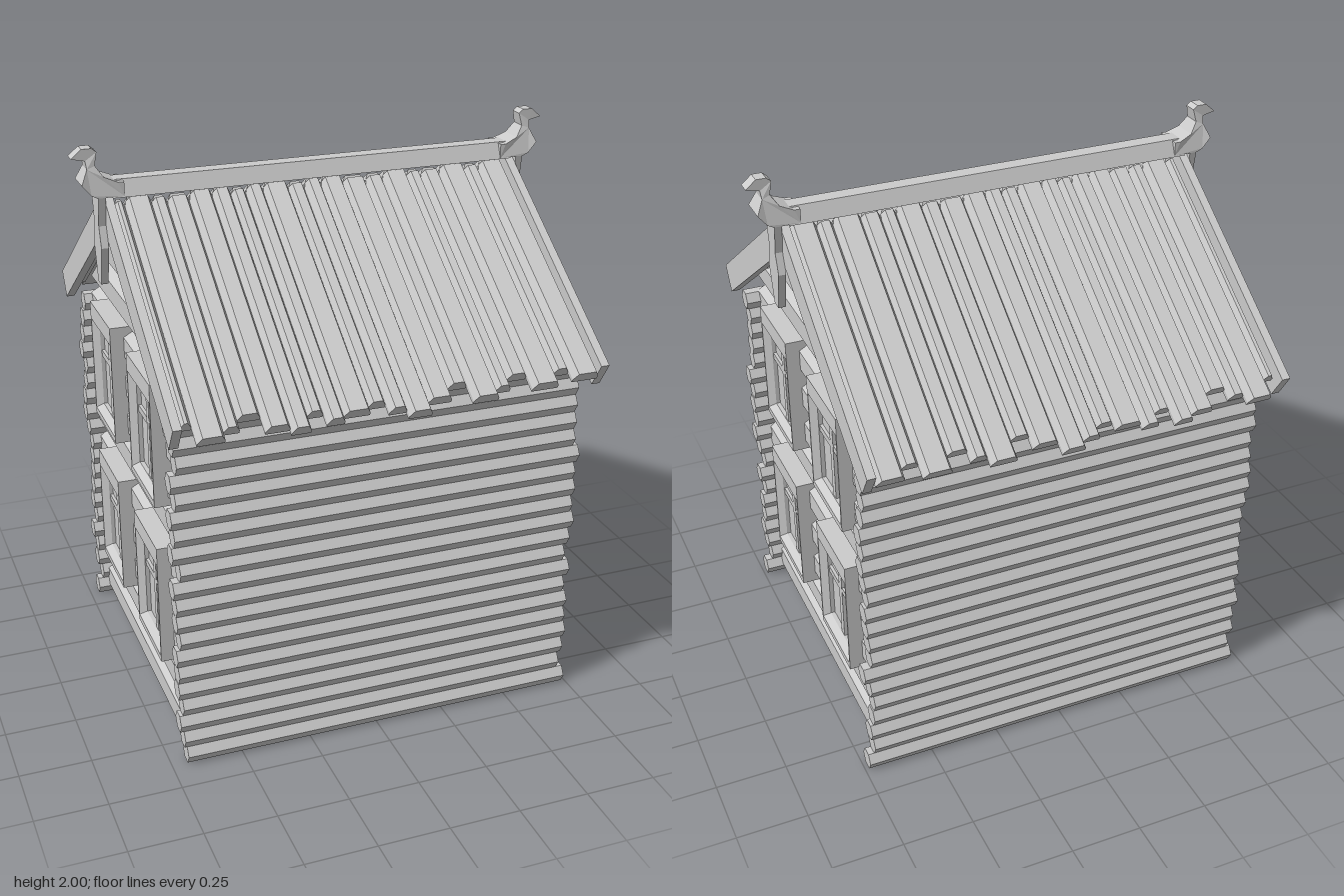
import * as THREE from 'three';

const SLOPE = 0.674, ANGLE = Math.atan(SLOPE), APEX = 1.845;
const mat = new THREE.MeshStandardMaterial({ color: 0xcccccc, flatShading: true });
const shellMat = new THREE.MeshStandardMaterial({ color: 0xcccccc, flatShading: true, side: THREE.DoubleSide });

let seed = 7;
const rand = () => (seed = (seed * 16807) % 2147483647) / 2147483647;

function add(parent, name, geometry, x = 0, y = 0, z = 0, material = mat) {
  const mesh = new THREE.Mesh(geometry, material);
  mesh.name = name;
  mesh.position.set(x, y, z);
  parent.add(mesh);
  return mesh;
}

function extrude(points, depth) {
  const shape = new THREE.Shape(points.map(([x, y]) => new THREE.Vector2(x, y)));
  return new THREE.ExtrudeGeometry(shape, { depth, bevelEnabled: false });
}

// Flat board outlined in (z, y), its thickness running along x
const boardX = (points, depth) => extrude(points.map(([z, y]) => [-z, y]), depth).rotateY(Math.PI / 2);

// Outer half of a six-sided gable log, its ends cut to follow the roof
function gableLog(y) {
  const geo = new THREE.CylinderGeometry(0.0735, 0.0735, 1, 3, 1, true, 0, Math.PI).rotateX(Math.PI / 2);
  const p = geo.attributes.position;
  for (let i = 0; i < p.count; i++) {
    const half = THREE.MathUtils.clamp((1.75 - y - p.getY(i)) / SLOPE, 0, 0.6);
    p.setZ(i, Math.sign(p.getZ(i)) * half);
  }
  return geo;
}

// Window casing with slanted reveal and pane: rectangles [x, halfWidth, bottom, top] joined in turn
function casingGeometry() {
  const loops = [
    [0.6, 0.15, 0, 0.44], [0.722, 0.15, 0, 0.44],
    [0.722, 0.142, 0.022, 0.375], [0.697, 0.125, 0.04, 0.348], [0.682, 0.125, 0.04, 0.348],
  ];
  const pos = [], idx = [2, 1, 0, 3, 2, 0];
  for (const [x, h, b, t] of loops) pos.push(x, b, h, x, b, -h, x, t, -h, x, t, h);
  for (let i = 0; i < loops.length - 1; i++) {
    for (let j = 0; j < 4; j++) {
      const a = i * 4 + j, b = i * 4 + (j + 1) % 4;
      idx.push(a, b, b + 4, a, b + 4, a + 4);
    }
  }
  const last = (loops.length - 1) * 4;
  idx.push(last, last + 1, last + 2, last, last + 2, last + 3);
  const geo = new THREE.BufferGeometry();
  geo.setAttribute('position', new THREE.Float32BufferAttribute(pos, 3));
  geo.setIndex(idx);
  geo.computeVertexNormals();
  return geo;
}

function makeWindow(y, z) {
  const win = new THREE.Group();
  win.name = 'window';
  add(win, 'windowCasing', casingGeometry());
  add(win, 'verticalMullion', new THREE.BoxGeometry(0.014, 0.308, 0.03), 0.687, 0.194, 0);
  add(win, 'crossBar', new THREE.BoxGeometry(0.012, 0.024, 0.25), 0.687, 0.242, 0);
  win.position.set(0, y, z);
  return win;
}

// Carved bird head at the end of the ridge, thinning towards the top
function birdGeometry() {
  const geo = extrude([
    [0.68, 1.84], [0.77, 1.84], [0.79, 1.85], [0.82, 1.886], [0.797, 1.934], [0.8, 1.96], [0.845, 1.97],
    [0.81, 2], [0.776, 2], [0.76, 1.987], [0.77, 1.944], [0.745, 1.907], [0.7, 1.888], [0.68, 1.888],
  ], 1).translate(0, 0, -0.5);
  const p = geo.attributes.position;
  for (let i = 0; i < p.count; i++) {
    const k = THREE.MathUtils.clamp((p.getY(i) - 1.886) / 0.075, 0, 1);
    p.setZ(i, p.getZ(i) * 2 * THREE.MathUtils.lerp(0.052, 0.024, k));
  }
  geo.computeVertexNormals();
  return geo;
}

// One gable end facing +x: log wall, windows, roof edge boards, pendant and bird
function makeGable() {
  const gable = new THREE.Group();
  for (let i = 0; i < 12; i++) {
    const y = 0.0735 + i * 0.147;
    add(gable, 'gableLog', gableLog(y), 0.61, y, 0, shellMat);
  }
  for (const y of [0.29, 0.885]) {
    for (const z of [0.253, -0.277]) gable.add(makeWindow(y, z));
  }
  for (const s of [-1, 1]) {
    const pts = [[0, APEX], [s * 0.78, 1.32], [s * 0.725, 1.235], [0, 1.723]];
    add(gable, 'bargeboard', boardX(pts, 0.03), 0.713, 0, 0);
  }
  add(gable, 'pendant', boardX([
    [-0.05, 1.845], [0.05, 1.845], [0.032, 1.74], [0.055, 1.67], [0.02, 1.535],
    [-0.02, 1.535], [-0.055, 1.67], [-0.032, 1.74],
  ], 0.025), 0.743, 0, 0);
  add(gable, 'ridgeBird', birdGeometry());
  return gable;
}

// Roof plank with a flat underside and deep chamfers on top, running down +z
function plankGeometry(width, length) {
  const w = width / 2, t = 0.021, c = 0.014;
  return extrude([[-w, -t], [w, -t], [w, -t + 0.014], [w - c, t], [-w + c, t], [-w, -t + 0.014]], length);
}

export function createModel() {
  const house = new THREE.Group();
  house.name = 'logHouse';

  // Long walls of stacked logs with uneven ends
  const pitch = 0.0643, radius = pitch / Math.sqrt(3);
  for (const s of [1, -1]) {
    for (let i = 0; i < 20; i++) {
      const left = -0.695 - rand() * 0.03, right = 0.705 + rand() * 0.035;
      const geo = new THREE.CylinderGeometry(radius, radius, right - left, 6).rotateZ(Math.PI / 2);
      add(house, 'wallLog', geo, (left + right) / 2, pitch * (i + 0.5), s * 0.607);
    }
  }

  // Gable ends
  const rightGable = makeGable(), leftGable = makeGable();
  rightGable.name = 'gableEnd';
  leftGable.name = 'oppositeGableEnd';
  leftGable.rotation.y = Math.PI;
  house.add(rightGable, leftGable);

  // Roof planks: edges along x, and how far out each one reaches
  const edges = [-0.71, -0.67, -0.58, -0.525, -0.45, -0.37, -0.305, -0.25, -0.19, -0.1, -0.04,
    0.02, 0.1, 0.185, 0.25, 0.34, 0.395, 0.465, 0.56, 0.617, 0.71];
  const reach = [0.73, 0.79, 0.76, 0.73, 0.785, 0.8, 0.75, 0.79, 0.775, 0.75, 0.785,
    0.805, 0.765, 0.73, 0.79, 0.76, 0.73, 0.78, 0.735, 0.77];
  for (const s of [1, -1]) {
    const side = new THREE.Group();
    side.name = 'roofSide';
    reach.forEach((r, i) => {
      const geo = plankGeometry(edges[i + 1] - edges[i], r / Math.cos(ANGLE));
      const raised = r > 0.768 ? 0.006 : -0.004;
      const x = s * (edges[i] + edges[i + 1]) / 2;
      add(side, 'roofPlank', geo, x, 1.8 + raised, 0).rotation.x = ANGLE;
    });
    if (s < 0) side.rotation.y = Math.PI;
    house.add(side);
  }

  // Ridge beam with sloping sides
  add(house, 'ridgeBeam', boardX([[-0.053, 1.836], [0.053, 1.836], [0.028, 1.892], [-0.028, 1.892]], 1.44), -0.72);
  return house;
}
